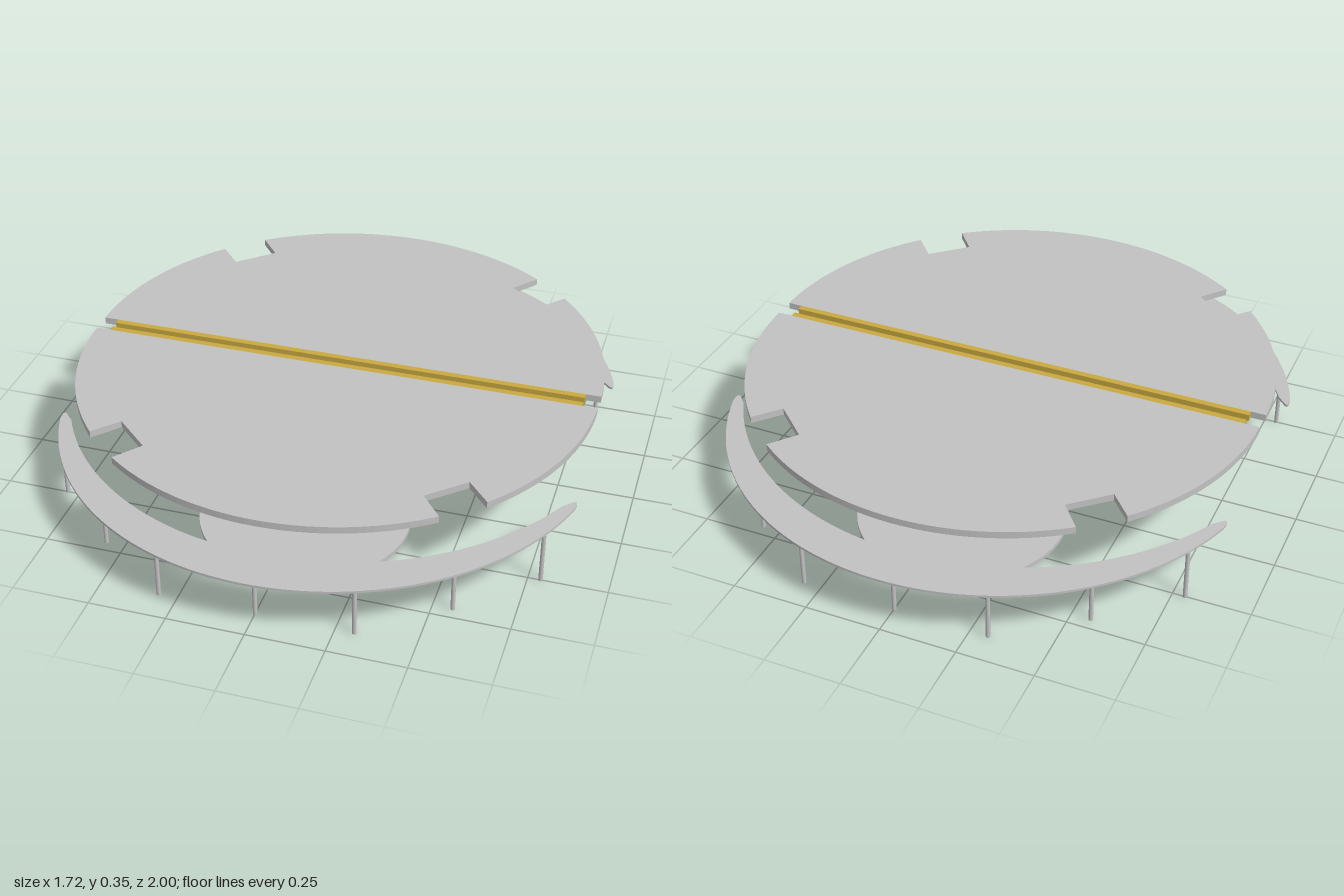
import * as THREE from 'three';

const grey = new THREE.MeshStandardMaterial({ color: 0xc2c2c2 });
grey.name = 'lightGrey';
const gold = new THREE.MeshStandardMaterial({ color: 0xc9aa40 });
gold.name = 'gold';

function add(parent, name, geometry, material, x = 0, y = 0, z = 0) {
  const mesh = new THREE.Mesh(geometry, material);
  mesh.name = name;
  mesh.position.set(x, y, z);
  parent.add(mesh);
  return mesh;
}

// Flat plate drawn in (x, z), with its upper face at y = 0
function plate(shape, thickness) {
  const g = new THREE.ExtrudeGeometry(shape, { depth: thickness, bevelEnabled: false, curveSegments: 48 });
  return g.rotateX(Math.PI / 2);
}

// Points on a circle centred on (0, cz), between two angles
function arc(cz, r, a0, a1, n) {
  const pts = [];
  for (let i = 0; i <= n; i++) {
    const a = a0 + (a1 - a0) * i / n;
    pts.push(new THREE.Vector2(r * Math.cos(a), cz + r * Math.sin(a)));
  }
  return pts;
}

const flip = pts => pts.map(p => new THREE.Vector2(-p.x, p.y)).reverse();

// Half-round top with two rectangular notches in its rim
function topShape() {
  const r = 0.859, cz = 0.035;
  const a0 = Math.atan2(0.58, 0.63), a1 = Math.atan2(0.685, 0.51);
  const right = [
    ...arc(cz, r, 0, a0, 24),
    new THREE.Vector2(0.56, 0.535),
    new THREE.Vector2(0.445, 0.64),
    ...arc(cz, r, a1, Math.PI / 2, 20),
  ];
  return new THREE.Shape([...right, ...flip(right).slice(1)]);
}

// Crescent between two arcs, with blunt tips
function crescentShape() {
  const outer = arc(0.1, 0.9, Math.asin(0.27 / 0.9), Math.PI / 2, 32);
  const inner = arc(-0.07, 0.93, Math.PI / 2, Math.asin(0.44 / 0.93), 32);
  const tip = [[0.85, 0.338], [0.858, 0.336], [0.861, 0.348]].map(p => new THREE.Vector2(...p));
  const right = [...inner, ...tip, ...outer];
  return new THREE.Shape([...right, ...flip(right).slice(1, -1)]);
}

function createHalf(name) {
  const half = new THREE.Group();
  half.name = name;

  add(half, 'tableTop', plate(topShape(), 0.023), grey, 0, 0.35, 0);
  add(half, 'seamStrip', new THREE.BoxGeometry(1.62, 0.023, 0.022), gold, 0, 0.3385, 0.024);

  // Pedestal
  add(half, 'column', new THREE.CylinderGeometry(0.077, 0.077, 0.315, 48), grey, 0, 0.1705, 0.401);
  add(half, 'baseDisc', new THREE.CylinderGeometry(0.342, 0.342, 0.014, 80), grey, 0, 0.007, 0.401);

  // Low crescent shelf on thin legs
  add(half, 'crescentShelf', plate(crescentShape(), 0.008), grey, 0, 0.196, 0);
  const legGeometry = new THREE.CylinderGeometry(0.007, 0.007, 0.188, 16);
  for (const [x, z] of [[0, 0.9], [0.31, 0.9], [0.563, 0.71], [0.79, 0.5]]) {
    for (const side of x ? [-1, 1] : [1]) {
      add(half, 'shelfLeg', legGeometry, grey, side * x, 0.094, z);
    }
  }
  return half;
}

export function createModel() {
  const model = new THREE.Group();
  model.name = 'splitRoundTable';
  const back = createHalf('backHalf');
  back.rotation.y = Math.PI;
  model.add(createHalf('frontHalf'), back);
  return model;
}
